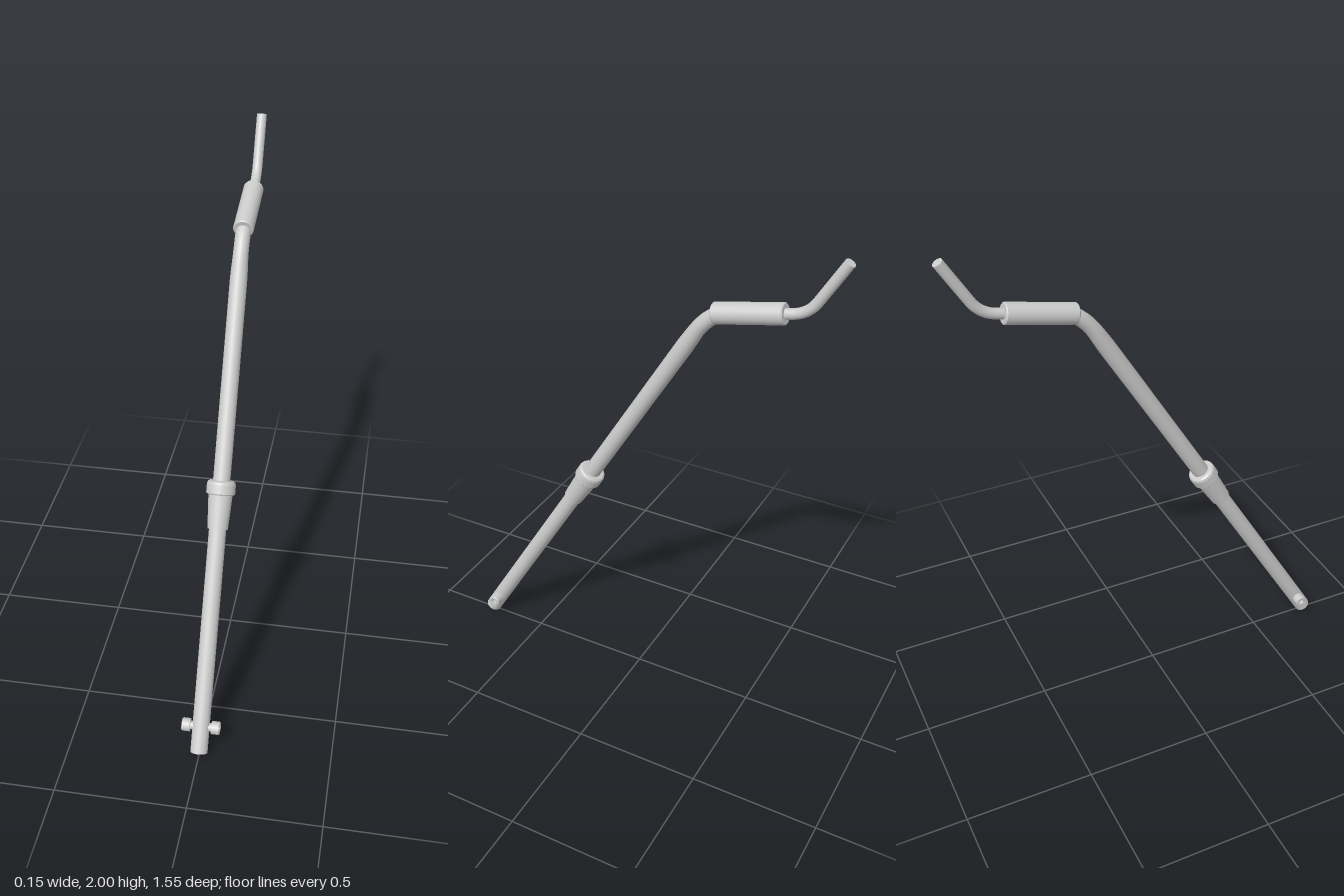
import * as THREE from 'three';

const material = new THREE.MeshStandardMaterial({ color: 0xcccccc });
const point = (y, z) => new THREE.Vector3(0, y, z);
const TILT = -0.5445; // lean of the shaft towards the back
const FOOT = point(0.02, 0.75);

function mesh(name, geometry) {
  const m = new THREE.Mesh(geometry, material);
  m.name = name;
  return m;
}

// Revolved part with crisp corners: each profile segment has its own normals
function turned(name, profile, sides = 32) {
  const group = new THREE.Group();
  group.name = name;
  for (let i = 0; i < profile.length - 1; i++) {
    const pair = [profile[i], profile[i + 1]].map(([r, y]) => new THREE.Vector2(r, y));
    group.add(mesh(name + 'Face', new THREE.LatheGeometry(pair, sides)));
  }
  return group;
}

// Bent tube: straight, rounded corner, straight; radius may vary with height
function bentTube(name, [a, b, corner, c, d], radiusAt) {
  const path = new THREE.CurvePath();
  path.add(new THREE.LineCurve3(a, b));
  path.add(new THREE.QuadraticBezierCurve3(b, corner, c));
  path.add(new THREE.LineCurve3(c, d));
  const steps = 90, sides = 24;
  const geometry = new THREE.TubeGeometry(path, steps, 1, sides, false);
  const pos = geometry.attributes.position;
  const v = new THREE.Vector3();
  for (let i = 0; i <= steps; i++) {
    const centre = path.getPointAt(i / steps);
    const r = radiusAt(centre.y);
    for (let j = 0; j <= sides; j++) {
      const k = i * (sides + 1) + j;
      v.fromBufferAttribute(pos, k).sub(centre).multiplyScalar(r).add(centre);
      pos.setXYZ(k, v.x, v.y, v.z);
    }
  }
  return mesh(name, geometry);
}

export function createModel() {
  const model = new THREE.Group();
  model.name = 'crankHandle';

  // Straight lower parts, built upright then leaned
  const lower = new THREE.Group();
  lower.name = 'lowerAssembly';
  lower.position.copy(FOOT);
  lower.rotation.x = TILT;
  model.add(lower);

  const shaft = mesh('lowerShaft', new THREE.CylinderGeometry(0.033, 0.033, 0.95, 32));
  shaft.position.y = 0.475;
  lower.add(shaft);

  // Coupling collar: tapered sleeve with a bevelled ring on top
  lower.add(turned('collar', [
    [0.03, 0.86], [0.039, 0.86], [0.046, 0.991], [0.051, 0.991], [0.055, 0.996],
    [0.055, 1.03], [0.052, 1.039], [0.046, 1.043], [0.03, 1.043],
  ]));

  // Cross pin with a socketed head on each side
  for (const side of [1, -1]) {
    const pin = turned(side > 0 ? 'leftPin' : 'rightPin', [
      [0.016, 0], [0.016, 0.041], [0.025, 0.041], [0.025, 0.07],
      [0.022, 0.073], [0.012, 0.073], [0.012, 0.058], [0, 0.058],
    ], 20);
    pin.position.y = 0.1;
    pin.rotation.z = -side * Math.PI / 2;
    lower.add(pin);
  }

  // Upper shaft, narrowing as it bends into the grip
  model.add(bentTube('upperShaft', [
    point(0.83, 0.26), point(1.614, -0.215), point(1.703, -0.268),
    point(1.721, -0.337), point(1.73, -0.38),
  ], (y) => 0.033 - 0.004 * THREE.MathUtils.smoothstep(y, 1.55, 1.66)));

  // Sleeve grip
  const gripStart = point(1.711, -0.289), gripEnd = point(1.767, -0.552);
  const length = gripStart.distanceTo(gripEnd);
  const grip = turned('grip', [
    [0, 0], [0.035, 0], [0.039, 0.004], [0.039, length - 0.004], [0.035, length], [0, length],
  ]);
  grip.position.copy(gripStart);
  grip.quaternion.setFromUnitVectors(
    new THREE.Vector3(0, 1, 0), gripEnd.clone().sub(gripStart).normalize());
  model.add(grip);

  // Thin end rod, bending back up parallel to the shaft
  const tip = point(1.99, -0.756);
  model.add(bentTube('endRod', [
    point(1.76, -0.52), point(1.771, -0.572), point(1.783, -0.631),
    point(1.835, -0.662), tip,
  ], () => 0.0195));
  const cap = mesh('endRodCap', new THREE.CircleGeometry(0.0195, 24));
  cap.position.copy(tip);
  cap.lookAt(tip.clone().multiplyScalar(2).sub(point(1.835, -0.662)));
  model.add(cap);

  return model;
}
